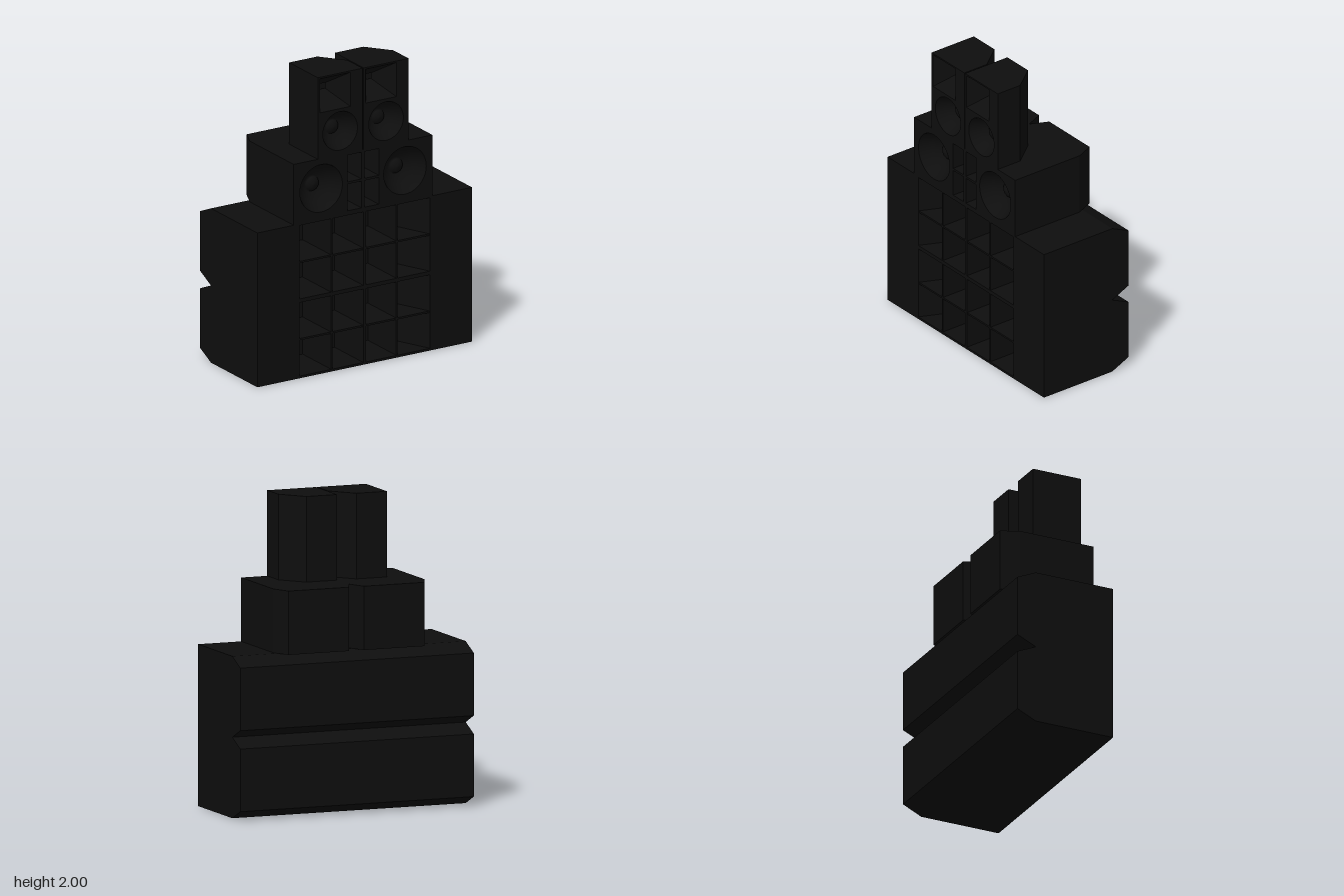
import * as THREE from 'three';

const black = new THREE.MeshStandardMaterial({ color: 0x0e0e0e, side: THREE.DoubleSide });
black.name = 'cabinet black';

const FRONT = 0.34;

function add(parent, name, geometry, x = 0, y = 0, z = 0) {
  const mesh = new THREE.Mesh(geometry, black);
  mesh.name = name;
  mesh.position.set(x, y, z);
  parent.add(mesh);
  return mesh;
}

const polygon = (points) => new THREE.Shape(points.map(([a, b]) => new THREE.Vector2(a, b)));
const rect = (x0, x1, y0, y1) => [[x0, y0], [x1, y0], [x1, y1], [x0, y1]];
const extrude = (shape, depth) =>
  new THREE.ExtrudeGeometry(shape, { depth, bevelEnabled: false, curveSegments: 32 });

// Front part of a cabinet: a block with openings cut through it along z
function frontBlock(parent, outline, holes, z0) {
  const shape = polygon(outline);
  shape.holes.push(...holes);
  add(parent, 'cabinetFront', extrude(shape, FRONT - z0), 0, 0, z0);
}

// Upright prism from [x, z] points
function plan(parent, name, points, y0, y1) {
  const geometry = extrude(polygon(points.map(([x, z]) => [x, -z])), y1 - y0);
  geometry.rotateX(-Math.PI / 2);
  add(parent, name, geometry, 0, y0, 0);
}

function circleHole(x, y, r) {
  const path = new THREE.Path();
  path.absarc(x, y, r, 0, Math.PI * 2, true);
  return path;
}

// Speaker cone with a domed dust cap, recessed into the front
function driver(parent, x, y, r, cap, depth) {
  const points = [
    [r, 0], [r * 0.93, -depth * 0.2], [r * 0.72, -depth * 0.62], [cap, -depth],
    [cap * 0.85, -depth * 0.86], [cap * 0.5, -depth * 0.74], [0, -depth * 0.7],
  ].map(([a, b]) => new THREE.Vector2(a, b));
  const geometry = new THREE.LatheGeometry(points, 40);
  geometry.rotateX(Math.PI / 2);
  add(parent, 'speakerCone', geometry, x, y, FRONT);
}

// Bass cabinet with a four-cell horn mouth; s is the side of the stack
function bassCabinet(s, y0) {
  const group = new THREE.Group();
  group.name = 'bassCabinet';
  const y1 = y0 + 0.52, zs = 0.0;
  const xs = (a, b) => [Math.min(s * a, s * b), Math.max(s * a, s * b)];
  const [x0, x1] = xs(0, 0.806);
  const [h0, h1] = xs(0.01, 0.49);
  frontBlock(group, rect(x0, x1, y0, y1), [polygon(rect(h0, h1, y0 + 0.015, y1 - 0.01))], zs);

  // Rear body with bevelled top and bottom back edges
  const side = extrude(polygon([
    [zs, y0], [zs, y1], [-0.21, y1], [-0.34, y1 - 0.058], [-0.34, y0 + 0.06], [-0.21, y0],
  ]), x1 - x0);
  side.rotateY(-Math.PI / 2);
  add(group, 'cabinetRear', side, x1, 0, 0);

  // Slanted outer horn wall and the crossing dividers
  plan(group, 'hornWall', [[s * 0.49, FRONT - 0.002], [s * 0.34, zs], [s * 0.49, zs]], y0 + 0.01, y1 - 0.005);
  const d = FRONT - 0.004 - zs;
  add(group, 'uprightDivider', new THREE.BoxGeometry(0.012, 0.5, d), s * 0.245, y0 + 0.26, zs + d / 2);
  add(group, 'levelDivider', new THREE.BoxGeometry(0.48, 0.012, d), s * 0.25, y0 + 0.26, zs + d / 2);
  return group;
}

// Mid cabinet: big cone on the outer side, two ports on the inner side
function midCabinet(s) {
  const group = new THREE.Group();
  group.name = 'midCabinet';
  const c = -0.012, w = 0.521, y0 = 1.04, y1 = 1.45, zs = 0.12;
  const [x0, x1] = s < 0 ? [c - w, c] : [c, c + w];
  const cx = c + s * 0.315, cy = 1.25, r = 0.16;
  const p0 = c + s * 0.012, p1 = c + s * 0.118;
  const [a, b] = [Math.min(p0, p1), Math.max(p0, p1)];
  frontBlock(group, rect(x0, x1, y0, y1), [
    circleHole(cx, cy, r),
    polygon(rect(a, b, 1.06, 1.24)),
    polygon(rect(a, b, 1.255, 1.435)),
  ], zs);
  plan(group, 'cabinetRear', [
    [x0, zs], [x1, zs], [x1, -0.18], [x1 - 0.052, -0.3], [x0 + 0.052, -0.3], [x0, -0.18],
  ], y0, y1);
  driver(group, cx, cy, r, 0.055, 0.12);
  return group;
}

// Top cabinet: square horn above a cone, one back corner cut away
function topCabinet(x0) {
  const group = new THREE.Group();
  group.name = 'topCabinet';
  const x1 = x0 + 0.337, y0 = 1.45, y1 = 2, zs = 0.16;
  const cx = x0 + 0.168, cy = 1.61, r = 0.13;
  const hx = x0 + 0.13, hy = 1.875, half = 0.115, throat = 0.018;
  frontBlock(group, rect(x0, x1, y0, y1), [
    circleHole(cx, cy, r),
    polygon(rect(hx - half, hx + half, hy - half, hy + half)),
  ], zs);
  plan(group, 'cabinetRear', [[x0, zs], [x1, zs], [x1 - 0.125, 0], [x0, 0]], y0, y1);
  driver(group, cx, cy, r, 0.052, 0.11);

  // Pyramid horn narrowing to a small throat
  const depth = FRONT - zs - 0.03;
  const horn = new THREE.CylinderGeometry(half * Math.SQRT2, throat * Math.SQRT2, depth, 4, 1, true)
    .toNonIndexed();
  horn.rotateY(Math.PI / 4);
  horn.rotateX(Math.PI / 2);
  horn.computeVertexNormals();
  add(group, 'trebleHorn', horn, hx, hy, FRONT - depth / 2);
  return group;
}

export function createModel() {
  const model = new THREE.Group();
  model.name = 'speakerStack';
  for (const s of [-1, 1]) {
    for (const y of [0, 0.52]) model.add(bassCabinet(s, y));
    model.add(midCabinet(s));
  }
  for (const x of [-0.352, -0.007]) model.add(topCabinet(x));
  return model;
}
